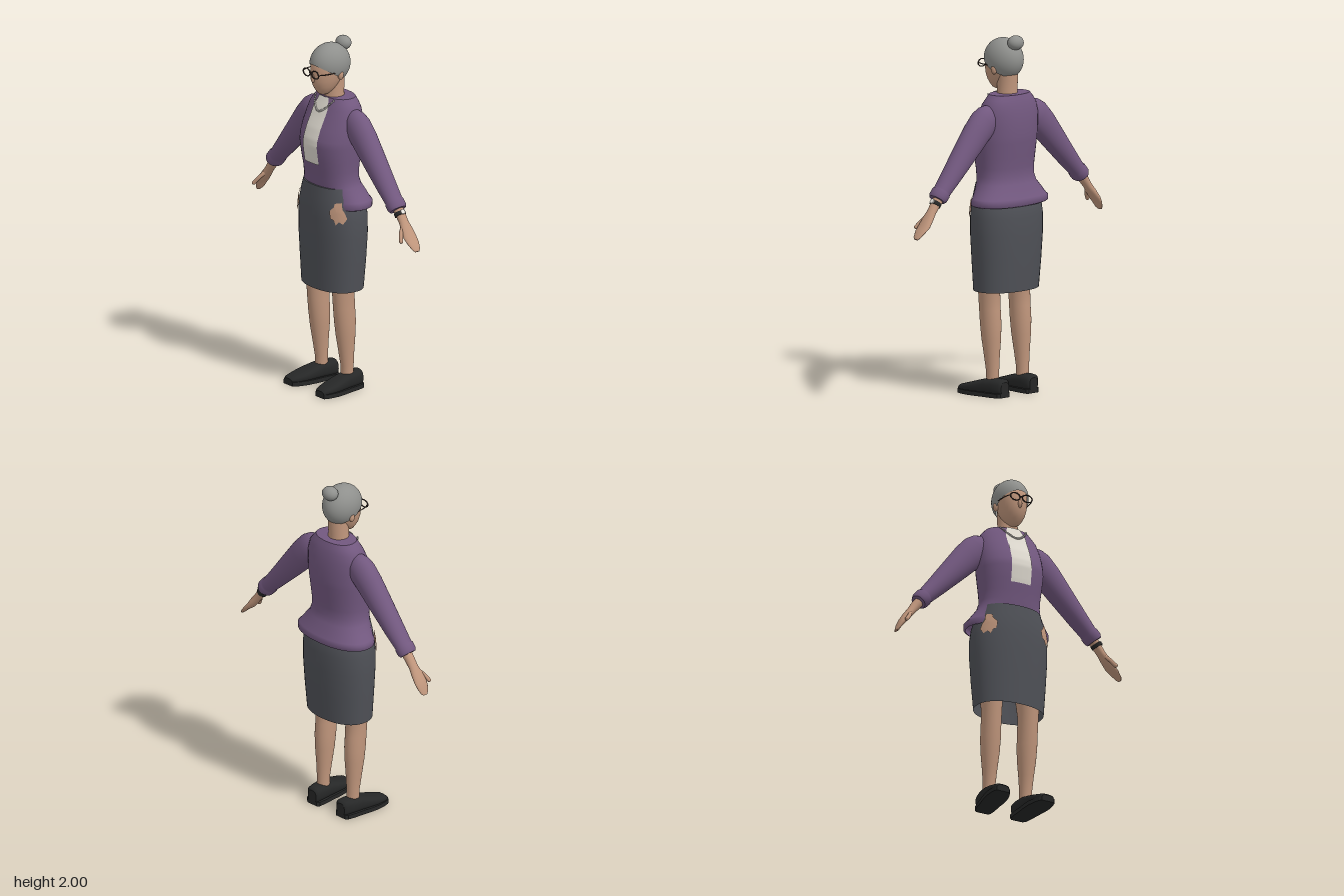
import * as THREE from 'three';

const mat = (name, color, side = THREE.FrontSide) => {
  const m = new THREE.MeshStandardMaterial({ color, side });
  m.name = name;
  return m;
};
const V = (x, y, z) => new THREE.Vector3(x, y, z);
const X = V(1, 0, 0), Y = V(0, 1, 0), Z = V(0, 0, 1);

// Rounded cross-section; p = 2 is an ellipse, larger is squarer
function ring(c, U, W, ru, rw, p = 2, n = 40) {
  const f = t => Math.sign(t) * Math.abs(t) ** (2 / p);
  return Array.from({ length: n }, (_, j) => {
    const a = j / n * Math.PI * 2;
    return c.clone().addScaledVector(U, ru * f(Math.cos(a))).addScaledVector(W, rw * f(Math.sin(a)));
  });
}

// Skin a list of closed rings, with optional flat end caps
function loft(rings, capStart = true, capEnd = true) {
  const n = rings[0].length, pos = [], idx = [];
  rings.forEach(r => r.forEach(v => pos.push(v.x, v.y, v.z)));
  for (let i = 0; i < rings.length - 1; i++) for (let j = 0; j < n; j++) {
    const k = (j + 1) % n, a = i * n + j, b = i * n + k;
    idx.push(a, a + n, b, b, a + n, b + n);
  }
  const cap = (r, flip) => {
    const base = pos.length / 3;
    const c = r.reduce((s, v) => s.add(v), V(0, 0, 0)).divideScalar(n);
    [c, ...r].forEach(v => pos.push(v.x, v.y, v.z));
    for (let j = 0; j < n; j++) {
      const a = base + 1 + j, b = base + 1 + (j + 1) % n;
      flip ? idx.push(base, b, a) : idx.push(base, a, b);
    }
  };
  if (capStart) cap(rings[0], false);
  if (capEnd) cap(rings.at(-1), true);
  return geo(pos, idx);
}

function geo(pos, idx) {
  const g = new THREE.BufferGeometry();
  g.setAttribute('position', new THREE.Float32BufferAttribute(pos, 3));
  g.setIndex(idx);
  g.computeVertexNormals();
  return g;
}

// Upright body part from rows of [y, half width, front z, back z]
const P = 2.25;
const upright = (rows, cx = 0, c0 = true, c1 = true, p = P) => loft(rows.map(([y, w, f, b]) =>
  ring(V(cx, y, (f + b) / 2), X, Z, w, (f - b) / 2, p)), c0, c1);

// Front surface depth of an upright part at (x, y)
function frontZ(rows, x, y) {
  let i = rows.findIndex(r => r[0] >= y);
  i = i < 0 ? rows.length - 1 : Math.max(1, i);
  const a = rows[i - 1], b = rows[i], t = (y - a[0]) / (b[0] - a[0]);
  const [w, f, k] = [1, 2, 3].map(q => a[q] + (b[q] - a[q]) * t);
  return (f + k) / 2 + (f - k) / 2 * Math.max(0, 1 - Math.abs(x / w) ** P) ** (1 / P);
}

// Limb in the xy plane from rows of [x, y, in-plane radius, z radius]
function limb(rows, s, z) {
  const c = rows.map(r => V(s * r[0], r[1], z));
  return loft(rows.map((r, i) => {
    const d = c[Math.min(i + 1, c.length - 1)].clone().sub(c[Math.max(i - 1, 0)]).normalize();
    return ring(c[i], d.cross(Z), Z, r[2], r[3], 2, 28);
  }));
}

export function createModel() {
  const g = new THREE.Group();
  const purple = mat('cardigan purple', 0x72587f, THREE.DoubleSide);
  const grey = mat('skirt grey', 0x4f5157, THREE.DoubleSide);
  const cream = mat('blouse cream', 0xdfdad0, THREE.DoubleSide);
  const skin = mat('skin', 0xc0967c, THREE.DoubleSide);
  const hairGrey = mat('hair grey', 0x8f908d, THREE.DoubleSide);
  const black = mat('shoe black', 0x262727);
  const frame = mat('glasses brown', 0x3d302c);
  const pearl = mat('pearl', 0xe6e2dc);
  const add = (name, geometry, m, x = 0, y = 0, z = 0) => {
    const mesh = new THREE.Mesh(geometry, m);
    mesh.name = name;
    mesh.position.set(x, y, z);
    g.add(mesh);
    return mesh;
  };
  const ball = (rx, ry, rz) => new THREE.SphereGeometry(1, 24, 16).scale(rx, ry, rz);

  // Cardigan with flared hem, and the skirt that shows in front of it
  const torso = [
    [1.062, 0.238, 0.094, -0.168], [1.068, 0.249, 0.10, -0.178], [1.095, 0.249, 0.10, -0.18],
    [1.105, 0.238, 0.10, -0.172], [1.14, 0.213, 0.104, -0.158], [1.18, 0.185, 0.112, -0.138],
    [1.22, 0.175, 0.118, -0.126], [1.27, 0.176, 0.125, -0.128], [1.33, 0.182, 0.137, -0.136],
    [1.41, 0.19, 0.148, -0.146], [1.45, 0.191, 0.143, -0.15], [1.51, 0.19, 0.122, -0.15],
    [1.57, 0.185, 0.092, -0.147], [1.62, 0.172, 0.07, -0.138], [1.65, 0.15, 0.056, -0.13],
    [1.676, 0.127, 0.045, -0.12]];
  add('cardigan', upright(torso, 0, false), purple);
  const skirt = [
    [0.585, 0.202, 0.125, -0.147], [0.75, 0.214, 0.132, -0.16], [0.9, 0.223, 0.138, -0.168],
    [1.0, 0.222, 0.138, -0.168], [1.06, 0.214, 0.136, -0.162], [1.12, 0.198, 0.13, -0.145],
    [1.18, 0.177, 0.122, -0.12]];
  add('skirt', upright(skirt, 0, false), grey);

  // Blouse panel following the chest
  const bp = [], bi = [], nx = 10, ny = 36;
  for (let i = 0; i <= ny; i++) for (let j = 0; j <= nx; j++) {
    const y = 1.31 + (1.677 - 1.31) * i / ny;
    const w = y > 1.62 ? 0.061 - (y - 1.62) * 0.38 : 0.061;
    const x = w * (2 * j / nx - 1);
    bp.push(x, y, frontZ(torso, x, y) + 0.006);
    if (i < ny && j < nx) {
      const a = i * (nx + 1) + j, b = a + nx + 1;
      bi.push(a, a + 1, b, a + 1, b + 1, b);
    }
  }
  add('blouse', geo(bp, bi), cream);

  // Pearl necklace
  for (let i = 0; i <= 22; i++) {
    const t = i / 11 - 1, x = 0.08 * t, y = 1.6 + 0.068 * Math.abs(t) ** 1.8;
    add('necklacePearl', new THREE.SphereGeometry(0.0055, 10, 8), pearl, x, y, frontZ(torso, x, y) + 0.01);
  }

  // Skin patches lying on the skirt at the hips
  const outline = [[.13, 1.06], [.15, 1.085], [.152, 1.105], [.18, 1.11], [.186, 1.075], [.198, 1.05],
    [.206, 1.02], [.195, .99], [.18, 1.003], [.166, .985], [.155, 1.01], [.137, 1.02]];
  for (const s of [-1, 1]) {
    const pos = [], idx = [], n = outline.length, R = 5;
    for (let r = 0; r <= R; r++) outline.forEach(([ox, oy], j) => {
      const x = 0.168 + (ox - 0.168) * r / R, y = 1.05 + (oy - 1.05) * r / R;
      pos.push(s * (x + 0.004), y, frontZ(skirt, x, y) + 0.006);
      const k = (j + 1) % n, a = r * n;
      if (r < R) s > 0 ? idx.push(a + j, a + n + k, a + n + j, a + j, a + k, a + n + k)
        : idx.push(a + j, a + n + j, a + n + k, a + j, a + n + k, a + k);
    });
    add('hipPatch', geo(pos, idx), skin);
  }

  // Neck, face, nose and ears
  add('neck', upright([[1.63, 0.06, 0.04, -0.08], [1.7, 0.056, 0.036, -0.077],
    [1.75, 0.055, 0.036, -0.082], [1.82, 0.055, 0.036, -0.082]], 0, true, true, 2), skin);
  add('face', upright([[1.692, 0.016, 0.07, 0.035], [1.7, 0.03, 0.084, 0.02], [1.72, 0.047, 0.1, -0.01],
    [1.745, 0.061, 0.114, -0.035], [1.78, 0.073, 0.125, -0.06], [1.82, 0.08, 0.127, -0.075],
    [1.86, 0.083, 0.124, -0.08], [1.89, 0.08, 0.112, -0.075], [1.93, 0.06, 0.08, -0.05]], 0, true, true, 2), skin);
  add('nose', ball(0.012, 0.024, 0.015), skin, 0, 1.795, 0.124);

  // Hair cap with a hairline that drops from forehead to nape, and a bun
  const hairRings = [];
  for (let i = 0; i <= 20; i++) hairRings.push(Array.from({ length: 48 }, (_, j) => {
    const a = j / 48 * Math.PI * 2, s = Math.sin(a);
    const th = (121 - (s > 0 ? 38 : 23) * s) * Math.PI / 180 * (1 - i / 20) + 1e-3;
    return V(0.097 * Math.sin(th) * Math.cos(a), 1.86 + 0.117 * Math.cos(th), 0.007 + 0.122 * Math.sin(th) * s);
  }));
  add('hair', loft(hairRings, false, false), hairGrey);
  add('hairBun', ball(0.048, 0.04, 0.042), hairGrey, 0, 1.96, -0.087);

  // Glasses bridge
  const bridge = add('glassesBridge', new THREE.CylinderGeometry(0.004, 0.004, 0.016, 8), frame, 0, 1.83, 0.143);
  bridge.rotation.z = Math.PI / 2;

  for (const s of [-1, 1]) {
    add('ear', ball(0.014, 0.027, 0.018), skin, s * 0.083, 1.81, -0.002);
    add('glassesRim', new THREE.TorusGeometry(0.03, 0.004, 8, 32).scale(1, 0.72, 1), frame, s * 0.037, 1.826, 0.14);
    add('glassesTemple', new THREE.TubeGeometry(new THREE.CatmullRomCurve3([V(s * 0.066, 1.83, 0.14),
      V(s * 0.082, 1.83, 0.1), V(s * 0.09, 1.83, 0.005)]), 12, 0.003, 6), frame);

    // Sleeve with rolled cuff
    const z = -0.035;
    add('sleeve', limb([[.12, 1.597, .025, .025], [.135, 1.583, .058, .045], [.16, 1.56, .078, .06],
      [.195, 1.53, .087, .068], [.25, 1.475, .083, .068], [.337, 1.377, .071, .064],
      [.44, 1.262, .056, .058], [.508, 1.188, .046, .052], [.514, 1.182, .051, .056],
      [.536, 1.158, .05, .056], [.546, 1.146, .042, .048]], s, z), purple);

    // Wrist, flat hand and thumb
    const e = 0.013 * s;
    add('hand', limb([[.52, 1.172, .03, .032], [.56, 1.125, .027, .028], [.592, 1.082, .022, .028],
      [.615, 1.052, .022, .036], [.645, 1.012, .018, .042], [.668 + e / 2, .985, .013, .038],
      [.688 + e, .956, .009, .026], [.696 + e, .945, .005, .014]], s, -0.04), skin);
    add('thumb', new THREE.TubeGeometry(new THREE.CatmullRomCurve3([V(s * .6, 1.07, -.025),
      V(s * .622, 1.035, .005), V(s * .648, 1.0, .024)]), 10, 0.011, 10), skin);
    add('thumbTip', ball(.011, .011, .011), skin, s * .648, 1.0, .024);

    // Leg
    add('leg', upright([[.08, .034, .012, -.06], [.14, .035, .014, -.06], [.22, .041, .028, -.063],
      [.32, .051, .045, -.069], [.4, .055, .055, -.071], [.48, .054, .063, -.066],
      [.58, .056, .07, -.06], [.75, .07, .085, -.09]], s * 0.113, true, true, 2), skin);

    // Shoe upper and sole, toes turned slightly out
    const shoe = [[-.117, .03, .085], [-.105, .044, .102], [-.06, .051, .103], [0, .054, .098],
      [.05, .059, .085], [.1, .06, .07], [.15, .052, .056], [.178, .043, .048], [.19, .034, .038]];
    const cx = zz => s * (0.12 + 0.1 * zz);
    add('shoe', loft(shoe.map(([zz, w, h]) =>
      ring(V(cx(zz), (h + .012) / 2, zz), V(-1, 0, 0), Y, w, (h - .012) / 2, 2.6, 28))), black);
    const sole = new THREE.Shape([...shoe.map(([zz, w]) => new THREE.Vector2(cx(zz) + w + .004, -zz)),
      ...shoe.slice().reverse().map(([zz, w]) => new THREE.Vector2(cx(zz) - w - .004, -zz))]);
    add('shoeSole', new THREE.ExtrudeGeometry(sole, { depth: 0.024, bevelEnabled: false }).rotateX(-Math.PI / 2), black);
  }

  // Wristwatch on the left arm
  add('watchBand', limb([[.553, 1.134, .031, .033], [.566, 1.117, .031, .033]], 1, -0.038), black);
  const dial = add('watchDial', new THREE.CylinderGeometry(0.014, 0.014, 0.008, 20), pearl, .584, 1.144, -.038);
  dial.rotation.z = -0.9;

  g.position.x = -0.013;
  const model = new THREE.Group();
  g.name = 'woman';
  model.add(g);
  return model;
}
